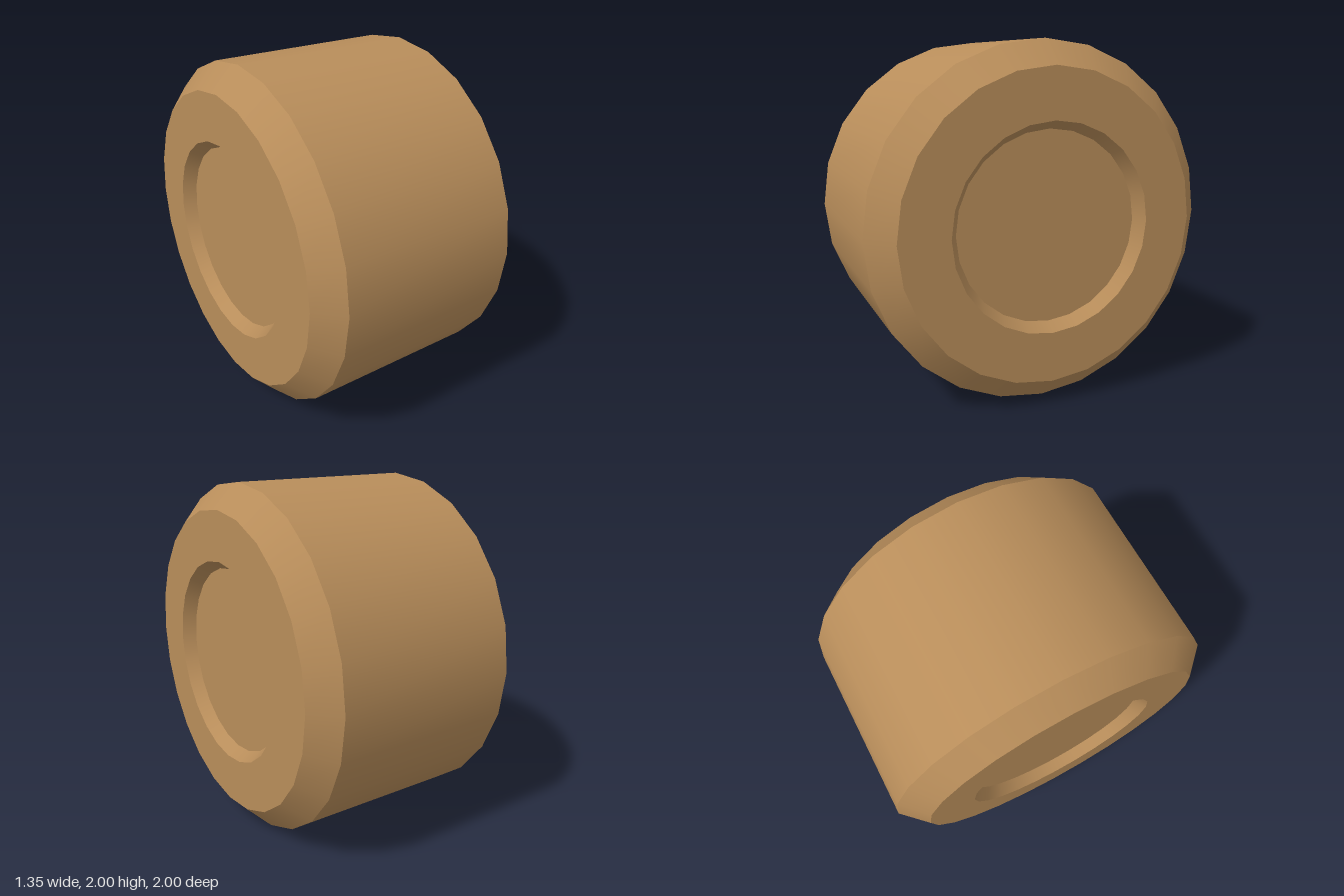
import * as THREE from 'three';

const SIDES = 24;
const HALF = 0.675;      // half width of the roller
const RECESS = 0.07;     // depth of the hub recess

export function createModel() {
  const wood = new THREE.MeshStandardMaterial({ color: 0xb88d5a });
  wood.name = 'tan';

  // One smooth band of the roller, turned about y from [radius, height] points
  const band = (name, ...points) => {
    const profile = points.map(([r, y]) => new THREE.Vector2(r, y));
    const mesh = new THREE.Mesh(new THREE.LatheGeometry(profile, SIDES), wood);
    mesh.name = name;
    return mesh;
  };

  const roller = new THREE.Group();
  roller.name = 'roller';
  roller.add(band('rollingSurface', [1, -0.54], [1, 0.54]));

  // Matching ends: chamfer, flat rim, sloped recess wall and recess floor
  for (const side of ['left', 'right']) {
    const end = new THREE.Group();
    end.name = side + 'End';
    end.add(
      band('chamfer', [1, 0.54], [0.862, HALF]),
      band('rimFace', [0.862, HALF], [0.58, HALF]),
      band('recessWall', [0.58, HALF], [0.533, HALF - RECESS]),
      band('recessFloor', [0.533, HALF - RECESS], [0, HALF - RECESS]),
    );
    if (side === 'right') end.rotation.z = Math.PI;
    roller.add(end);
  }

  // Lay the axis along x and rest the roller on the ground
  roller.rotation.z = -Math.PI / 2;
  roller.position.y = 1;

  const model = new THREE.Group();
  model.name = 'model';
  model.add(roller);
  return model;
}
